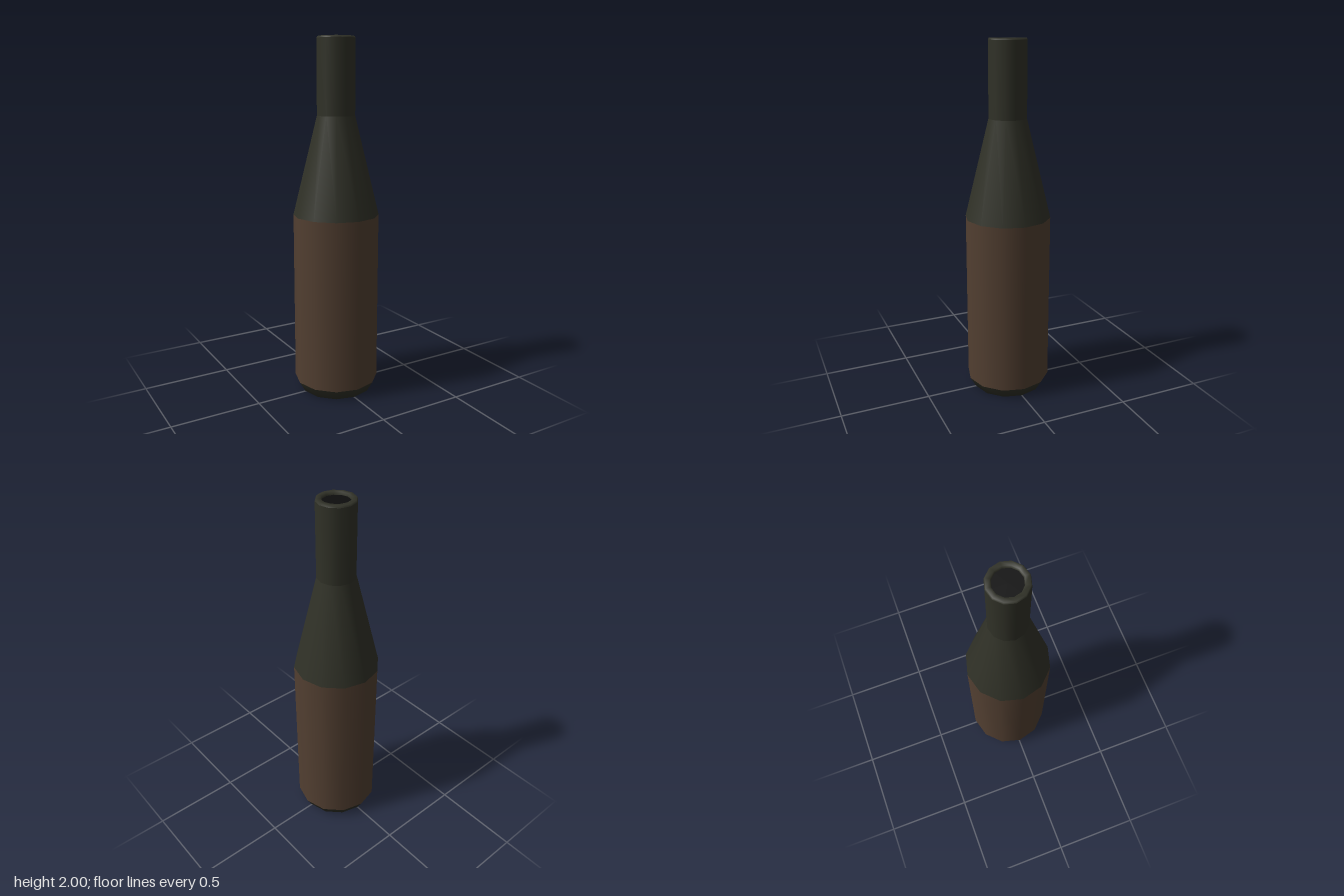
import * as THREE from 'three';

const SIDES = 12;

export function createModel() {
  const glass = new THREE.MeshStandardMaterial({ name: 'dark green glass', color: 0x303127 });
  const paper = new THREE.MeshStandardMaterial({ name: 'brown label', color: 0x523f31 });
  const dark = new THREE.MeshStandardMaterial({ name: 'black interior', color: 0x0d0d0d });

  const bottle = new THREE.Group();
  bottle.name = 'bottle';

  // Turns a [radius, height] profile into one smooth twelve-sided part
  const turn = (name, material, profile) => {
    const points = profile.map(([r, y]) => new THREE.Vector2(r, y));
    const mesh = new THREE.Mesh(new THREE.LatheGeometry(points, SIDES), material);
    mesh.name = name;
    bottle.add(mesh);
  };

  // Closed foot with a chamfered edge
  turn('base', glass, [[0, 0], [0.205, 0], [0.24, 0.06]]);
  // Straight body wrapped by the label
  turn('label', paper, [[0.24, 0.06], [0.24, 1.03]]);
  // Sloping shoulder and straight neck
  turn('shoulder', glass, [[0.24, 1.03], [0.105, 1.58]]);
  turn('neck', glass, [[0.105, 1.58], [0.105, 1.99]]);
  // Rounded lip, turning down into the mouth
  turn('lip', glass, [[0.105, 1.99], [0.1, 2], [0.077, 2], [0.073, 1.985]]);
  // Dark opening just below the lip
  turn('mouth', dark, [[0.073, 1.985], [0, 1.985]]);

  return bottle;
}
